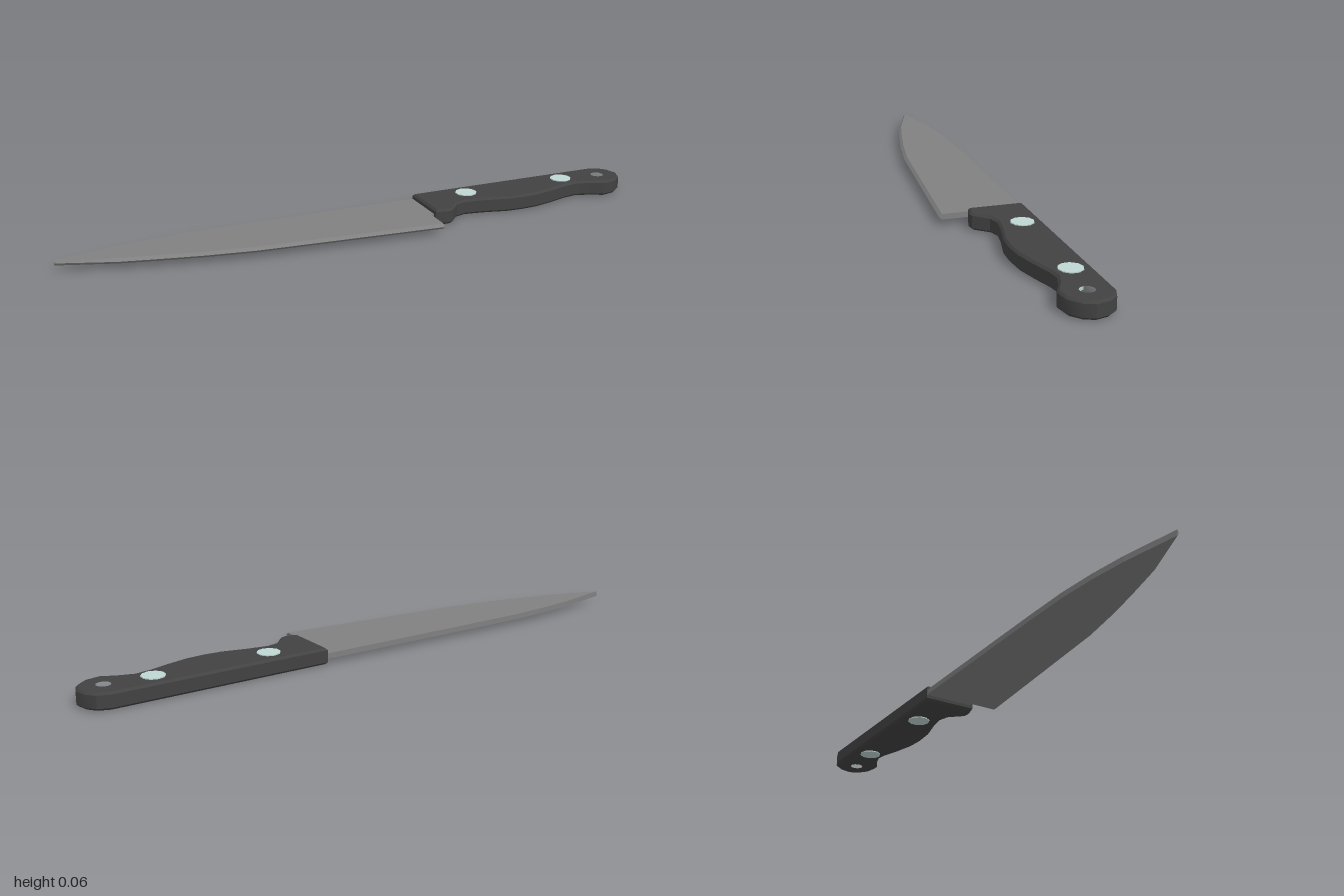
import * as THREE from 'three';
import { toCreasedNormals } from 'three/addons/utils/BufferGeometryUtils.js';

const steel = new THREE.MeshStandardMaterial({ color: 0x808080, flatShading: true });
const black = new THREE.MeshStandardMaterial({ color: 0x424242 });
const rivetMetal = new THREE.MeshStandardMaterial({ color: 0xbed6d2 });

const MID = 0.03; // height of the knife's middle plane

function addMesh(group, name, geometry, material) {
  const mesh = new THREE.Mesh(geometry, material);
  mesh.name = name;
  group.add(mesh);
  return mesh;
}

// Blade lofted from five-sided sections: flat spine, flat sides, ground edge
function bladeGeometry() {
  const half = 0.009, grind = 0.01;
  // x, z of spine, z of cutting edge
  const stations = [
    [-1, -0.069, -0.063], [-0.82, -0.106, 0.002], [-0.7, -0.122, 0.03],
    [-0.57, -0.132, 0.058], [-0.41, -0.134, 0.084], [0.21, -0.134, 0.134],
  ];
  const positions = [], index = [];
  for (const [x, spine, edge] of stations) {
    const shoulder = Math.max(spine, edge - grind);
    positions.push(
      x, MID + half, spine, x, MID + half, shoulder, x, MID, edge,
      x, MID - half, shoulder, x, MID - half, spine);
  }
  const n = 5, last = (stations.length - 1) * n;
  for (let s = 0; s < last; s += n) {
    for (let i = 0; i < n; i++) {
      const a = s + i, b = s + (i + 1) % n;
      index.push(a, b, a + n, b, b + n, a + n);
    }
  }
  // Close the tip and the heel
  for (let i = 1; i < n - 1; i++) {
    index.push(0, i + 1, i, last, last + i, last + i + 1);
  }
  const geometry = new THREE.BufferGeometry();
  geometry.setAttribute('position', new THREE.Float32BufferAttribute(positions, 3));
  geometry.setIndex(index);
  const flat = geometry.toNonIndexed();
  flat.computeVertexNormals();
  return flat;
}

// Handle outline (x, z) extruded upward with a small chamfer and a hanging hole
function handleGeometry() {
  const outline = [
    [0.222, -0.134], [0.93, -0.134], [0.968, -0.12], [0.99, -0.092], [1, -0.052],
    [0.986, -0.018], [0.952, 0.01], [0.902, 0.019], [0.855, -0.004], [0.81, -0.018],
    [0.765, -0.012], [0.7, 0.008], [0.625, 0.026], [0.565, 0.03], [0.505, 0.026],
    [0.42, 0.005], [0.36, -0.004], [0.322, 0.006], [0.282, 0.05], [0.262, 0.054],
    [0.222, 0.044],
  ];
  const shape = new THREE.Shape(outline.map(([x, z]) => new THREE.Vector2(x, -z)));
  const hole = [];
  for (let i = 0; i < 10; i++) {
    const a = -i / 10 * Math.PI * 2;
    hole.push(new THREE.Vector2(0.92 + 0.03 * Math.cos(a), 0.058 + 0.03 * Math.sin(a)));
  }
  shape.holes.push(new THREE.Path(hole));
  const bevel = 0.007, thickness = 0.053;
  const geometry = new THREE.ExtrudeGeometry(shape, {
    depth: thickness - 2 * bevel, bevelEnabled: true, bevelSegments: 1,
    bevelSize: bevel, bevelThickness: bevel, bevelOffset: -bevel,
  });
  geometry.translate(0, 0, MID - thickness / 2 + bevel);
  geometry.rotateX(-Math.PI / 2);
  return toCreasedNormals(geometry, Math.PI / 6);
}

export function createModel() {
  const knife = new THREE.Group();
  knife.name = 'kitchenKnife';

  addMesh(knife, 'blade', bladeGeometry(), steel);

  // Short tang joining the blade to the handle
  const tang = addMesh(knife, 'tang', new THREE.BoxGeometry(0.06, 0.018, 0.166), steel);
  tang.position.set(0.235, MID, -0.05);

  addMesh(knife, 'handle', handleGeometry(), black);

  // Rivets pass right through the handle
  for (const x of [0.395, 0.775]) {
    const rivet = addMesh(knife, 'rivet', new THREE.CylinderGeometry(0.037, 0.037, 0.059, 10), rivetMetal);
    rivet.position.set(x, MID, -0.071);
  }
  return knife;
}
